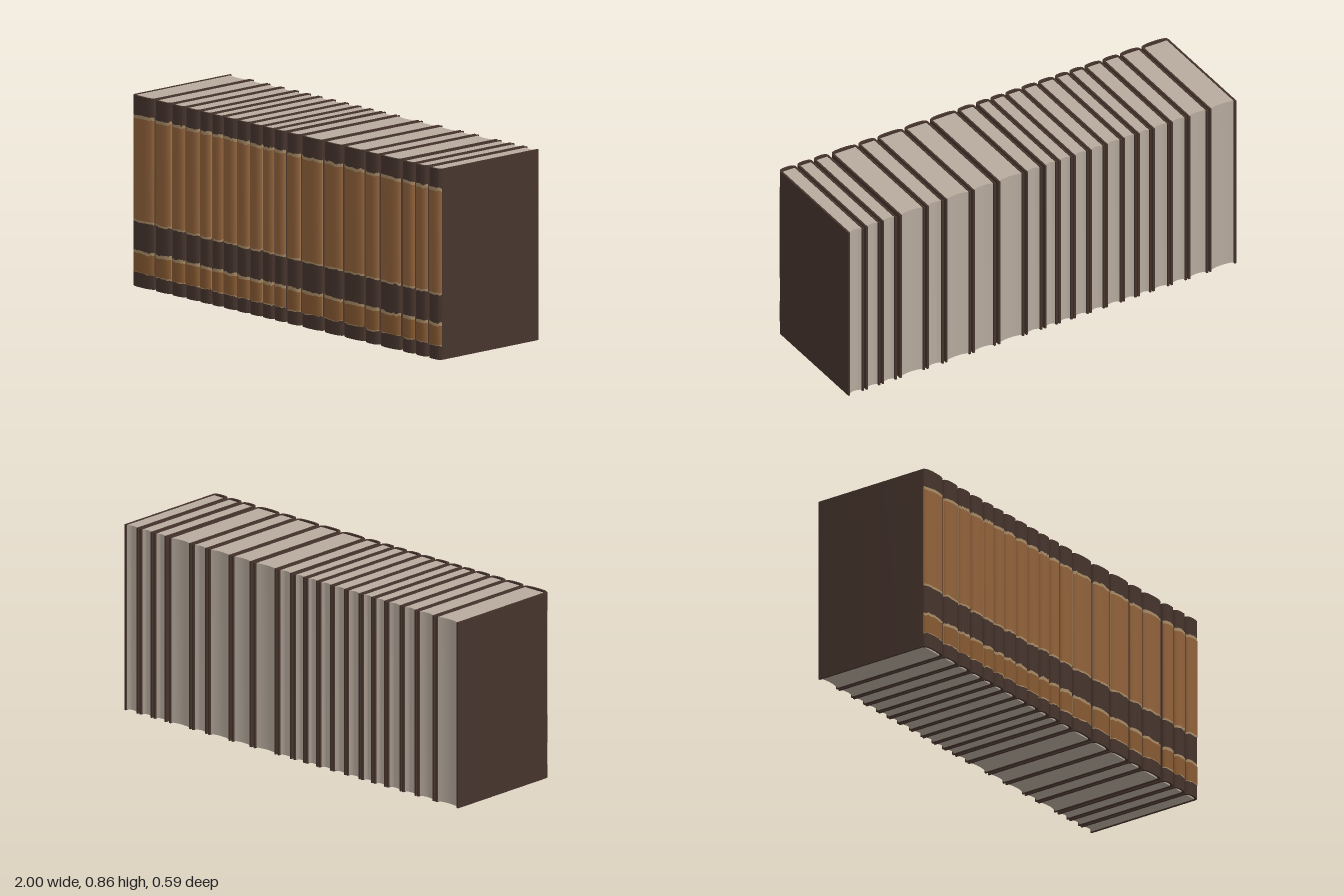
import * as THREE from 'three';
import { toCreasedNormals } from 'three/addons/utils/BufferGeometryUtils.js';

const HEIGHT = 0.86, BACK = -0.297, HINGE = 0.272, BULGE = 0.022, BOARD = 0.009;

// Boundaries between neighbouring books, and the air gap at each boundary
const EDGES = [-1, -0.86, -0.75, -0.66, -0.567, -0.49, -0.415, -0.327, -0.243, -0.16, -0.083,
  -0.006, 0.088, 0.233, 0.363, 0.503, 0.6, 0.742, 0.83, 0.914, 1];
const GAPS = [0, 0.008, 0.007, 0.008, 0.007, 0.007, 0.006, 0.006, 0.006, 0.006, 0.006,
  0.012, 0.01, 0.014, 0.01, 0.01, 0.01, 0.017, 0.01, 0.01, 0];

const material = (name, color, side = THREE.FrontSide) => {
  const m = new THREE.MeshStandardMaterial({ color, side });
  m.name = name;
  return m;
};

function seeded(seed) {
  let s = seed;
  return () => (s = (s * 16807) % 2147483647) / 2147483647;
}

// Point on the rounded spine; a runs from 0 (right hinge) to PI (left hinge)
function spinePoint(a, halfWidth, lift = 0) {
  const c = Math.cos(a);
  return [
    Math.sign(c) * Math.abs(c) ** 0.75 * halfWidth,
    HINGE + BULGE * Math.max(0, Math.sin(a)) ** 0.75 + lift,
  ];
}

// Extrude an outline of [x, z] points upwards
function prism(points, y0, y1) {
  const shape = new THREE.Shape(points.map(([x, z]) => new THREE.Vector2(x, -z)));
  const geo = new THREE.ExtrudeGeometry(shape, { depth: y1 - y0, bevelEnabled: false });
  geo.rotateX(-Math.PI / 2).translate(0, y0, 0);
  return toCreasedNormals(geo, 0.6);
}

// U-shaped binding: two boards joined by a rounded spine
function coverGeometry(hw) {
  const outer = [], inner = [];
  for (let i = 0; i <= 16; i++) {
    const a = (i / 16) * Math.PI;
    outer.push(spinePoint(a, hw));
    inner.unshift(spinePoint(a, hw - BOARD, -BOARD));
  }
  return prism([[hw, BACK], ...outer, [-hw, BACK], [-hw + BOARD, BACK], ...inner, [hw - BOARD, BACK]], 0, HEIGHT);
}

// Page block with a hollow fore edge
function pagesGeometry(hw) {
  const w = hw - BOARD + 0.001, points = [[w, HINGE], [-w, HINGE]];
  for (let i = 0; i <= 8; i++) {
    const s = -1 + i / 4;
    points.push([s * w, -0.289 + 0.009 * (1 - s * s)]);
  }
  return prism(points, 0.003, HEIGHT - 0.003);
}

// Thin strip following the spine between two rows of heights
function stripGeometry(hw, low, high, lift) {
  const pos = [], index = [], n = low.length - 1;
  for (let i = 0; i <= n; i++) {
    const [x, z] = spinePoint(Math.PI * (0.95 - 0.9 * i / n), hw, lift);
    pos.push(x, low[i], z, x, high[i], z);
    if (i < n) {
      const k = i * 2;
      index.push(k, k + 2, k + 1, k + 1, k + 2, k + 3);
    }
  }
  const geo = new THREE.BufferGeometry();
  geo.setAttribute('position', new THREE.Float32BufferAttribute(pos, 3));
  geo.setIndex(index);
  geo.computeVertexNormals();
  return geo;
}

export function createModel() {
  const leather = material('dark leather', 0x46342d);
  const paper = material('paper', 0xb7aa9d);
  const tan = material('tan label', 0x91623b, THREE.DoubleSide);
  const ochre = material('ochre label', 0x875a32, THREE.DoubleSide);
  const worn = material('worn edge', 0xa68a65, THREE.DoubleSide);

  const group = new THREE.Group();
  group.name = 'bookRow';
  const random = seeded(4711);

  // Ragged row of heights, stepping gently across the spine
  const ragged = (y, amount) => {
    let level = 0;
    return Array.from({ length: 15 }, () => {
      if (random() < 0.5) level = (random() - 0.5) * 2 * amount;
      return y + level;
    });
  };

  for (let i = 0; i < EDGES.length - 1; i++) {
    const x0 = EDGES[i] + GAPS[i] / 2, x1 = EDGES[i + 1] - GAPS[i + 1] / 2;
    const hw = (x1 - x0) / 2;
    const book = new THREE.Group();
    book.name = `book${i + 1}`;
    book.position.x = (x0 + x1) / 2;
    const add = (name, geo, mat) => {
      const mesh = new THREE.Mesh(geo, mat);
      mesh.name = name;
      book.add(mesh);
    };

    add('cover', coverGeometry(hw), leather);
    add('pages', pagesGeometry(hw), paper);

    // Labels on the spine, each over a slightly taller worn backing
    const labels = [['upperLabel', 0.302, 0.76, 0.009, 0.014, tan], ['lowerLabel', 0.066, 0.152, 0.004, 0.014, ochre]];
    for (const [name, y0, y1, below, above, mat] of labels) {
      const low = ragged(y0, 0.003), high = ragged(y1, 0.004);
      const rim = ragged(0, 0.003);
      add(name + 'Edge', stripGeometry(hw, low.map((y, k) => y - below + rim[k]),
        high.map((y, k) => y + above - rim[k]), 0.001), worn);
      add(name, stripGeometry(hw, low, high, 0.002), mat);
    }
    group.add(book);
  }
  return group;
}
